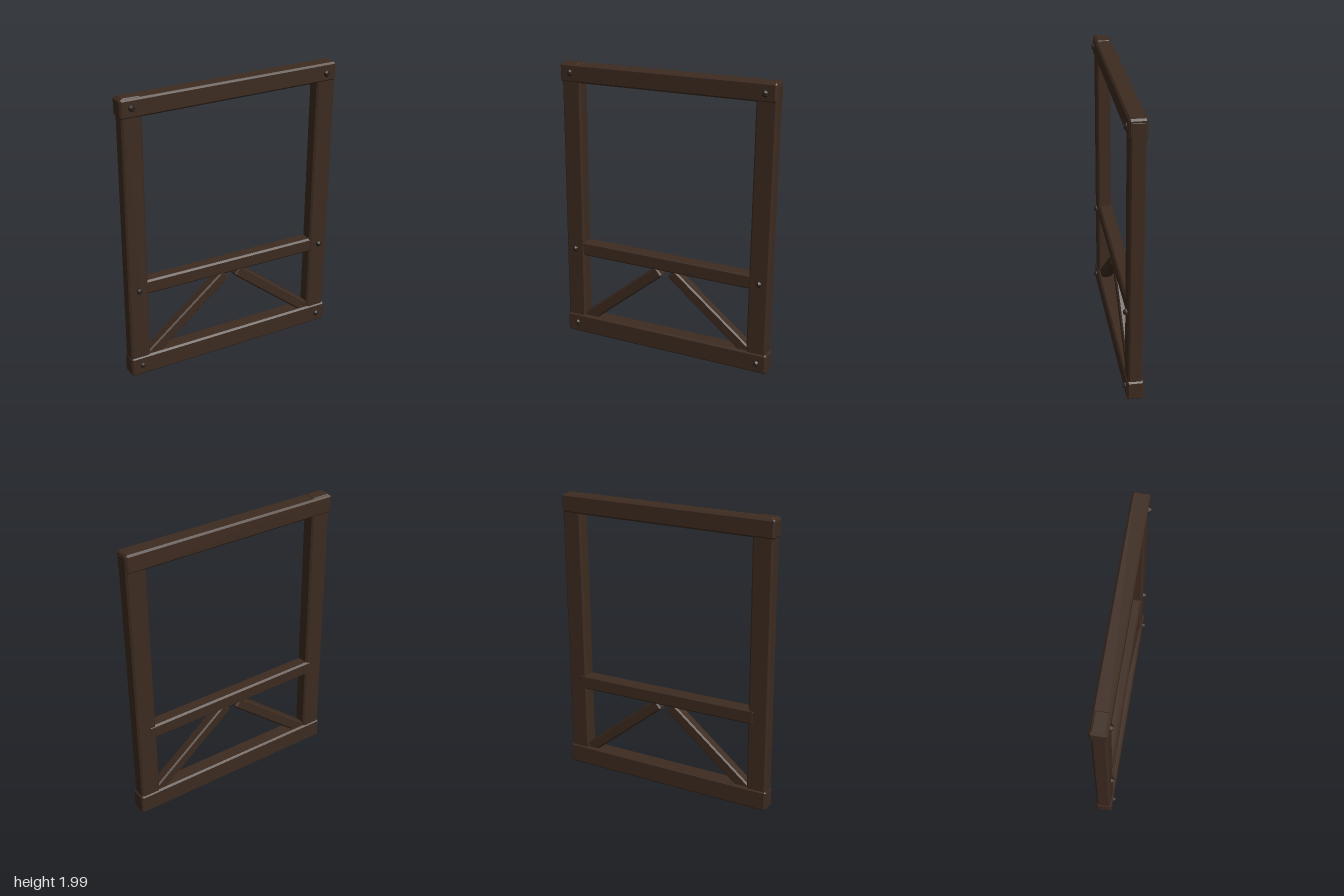
import * as THREE from 'three';
import { ConvexGeometry } from 'three/addons/geometries/ConvexGeometry.js';

// Box with every edge cut by a flat chamfer
function chamferedBox(w, h, d, c) {
  const points = [];
  for (const x of [-1, 1]) for (const y of [-1, 1]) for (const z of [-1, 1]) {
    const [X, Y, Z] = [x * w / 2, y * h / 2, z * d / 2];
    points.push(
      new THREE.Vector3(X, Y - y * c, Z - z * c),
      new THREE.Vector3(X - x * c, Y, Z - z * c),
      new THREE.Vector3(X - x * c, Y - y * c, Z)
    );
  }
  return new ConvexGeometry(points);
}

export function createModel() {
  const model = new THREE.Group();
  const wood = new THREE.MeshStandardMaterial({ color: 0x3d2b20 });
  wood.name = 'dark wood';
  const iron = new THREE.MeshStandardMaterial({ color: 0x2c211b });
  iron.name = 'dark iron';

  // Timber running from a to b (x, y), with given width and front/back z
  function beam(name, a, b, width, front, back, chamfer = 0.012) {
    const dx = b[0] - a[0], dy = b[1] - a[1];
    const mesh = new THREE.Mesh(chamferedBox(Math.hypot(dx, dy), width, front - back, chamfer), wood);
    mesh.name = name;
    mesh.position.set((a[0] + b[0]) / 2, (a[1] + b[1]) / 2, (front + back) / 2);
    mesh.rotation.z = Math.atan2(dy, dx);
    model.add(mesh);
  }

  // Slightly crooked outer frame; the right post reaches its top end
  beam('topBeam', [-0.78, 1.923], [0.776, 1.935], 0.126, 0.05, -0.064);
  beam('bottomBeam', [-0.785, 0.077], [0.77, 0.084], 0.142, 0.05, -0.064);
  beam('rightPost', [-0.712, 0.03], [-0.7, 1.992], 0.14, 0.042, -0.056);
  beam('leftPost', [0.689, 0.03], [0.708, 1.985], 0.14, 0.042, -0.056);

  // Middle rail and the two diagonal braces beneath it
  beam('middleRail', [-0.68, 0.664], [0.68, 0.658], 0.102, 0.036, -0.06);
  beam('rightBrace', [-0.65, 0.112], [-0.047, 0.6], 0.08, 0.03, -0.045, 0.01);
  beam('leftBrace', [0.65, 0.118], [0.044, 0.603], 0.078, 0.03, -0.045, 0.01);

  // Domed six-sided bolt heads at the joints
  const profile = [[0.023, 0], [0.023, 0.012], [0.012, 0.025], [0, 0.025]]
    .map(([r, y]) => new THREE.Vector2(r, y));
  const boltShape = new THREE.LatheGeometry(profile, 6).toNonIndexed();
  boltShape.computeVertexNormals();
  for (const x of [-0.703, 0.7]) {
    for (const [y, z] of [[0.083, 0.043], [0.66, 0.04], [1.928, 0.043]]) {
      const bolt = new THREE.Mesh(boltShape, iron);
      bolt.name = 'bolt';
      bolt.position.set(x, y, z);
      bolt.rotation.x = Math.PI / 2;
      model.add(bolt);
    }
  }
  return model;
}
